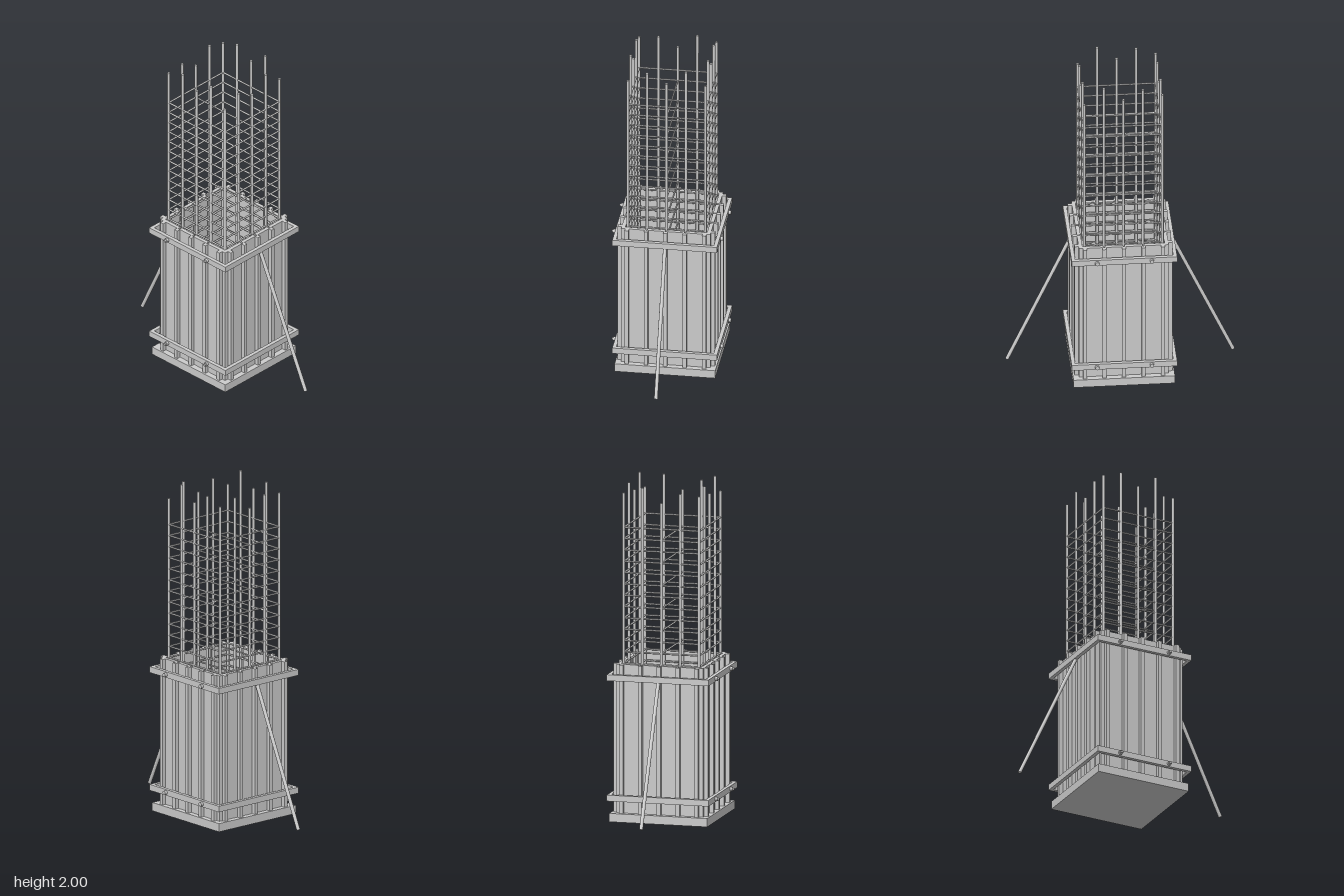
import * as THREE from 'three';

const mat = new THREE.MeshStandardMaterial({ color: 0xcccccc });

export function createModel() {
  const model = new THREE.Group();
  const body = new THREE.Group();
  body.name = 'columnFormwork';
  body.position.z = -0.003;
  model.add(body);

  function add(parent, name, geometry, x = 0, y = 0, z = 0) {
    const mesh = new THREE.Mesh(geometry, mat);
    mesh.name = name;
    mesh.position.set(x, y, z);
    parent.add(mesh);
    return mesh;
  }
  function box(parent, name, w, y0, y1, d, x = 0, z = 0) {
    return add(parent, name, new THREE.BoxGeometry(w, y1 - y0, d), x, (y0 + y1) / 2, z);
  }
  // round bar between two points
  function bar(parent, name, a, b, r, sides = 8) {
    const p = new THREE.Vector3(...a), q = new THREE.Vector3(...b);
    const dir = q.clone().sub(p);
    const mesh = add(parent, name, new THREE.CylinderGeometry(r, r, dir.length(), sides));
    mesh.position.copy(p).add(q).multiplyScalar(0.5);
    mesh.quaternion.setFromUnitVectors(new THREE.Vector3(0, 1, 0), dir.normalize());
    return mesh;
  }

  // footing slab and low starter block
  box(body, 'footing', 0.592, 0, 0.05, 0.592);
  box(body, 'starterBlock', 0.356, 0.05, 0.075, 0.356);

  // four shutter sides: boards with a batten over every joint
  const grid = [-0.2275, -0.114, 0, 0.114, 0.2275];
  for (let side = 0; side < 4; side++) {
    const shutter = new THREE.Group();
    shutter.name = 'shutterSide';
    shutter.rotation.y = side * Math.PI / 2;
    body.add(shutter);
    const reach = side % 2 ? 0.24 : 0.262;
    const edges = [-reach, -0.114, 0, 0.114, reach];
    for (let i = 0; i < 4; i++) {
      const a = edges[i] + (i > 0 ? 0.005 : 0);
      const b = edges[i + 1] - (i < 3 ? 0.005 : 0);
      box(shutter, 'board', b - a, 0.05, 0.93, 0.022, (a + b) / 2, 0.251);
    }
    for (const x of grid) box(shutter, 'batten', 0.023, 0.05, 0.93, 0.024, x, 0.274);
  }

  // clamping collars with bolts on the front and back
  const square = (shape, h) => shape.moveTo(-h, -h).lineTo(h, -h).lineTo(h, h).lineTo(-h, h).closePath();
  for (const y of [0.142, 0.855]) {
    const ring = square(new THREE.Shape(), 0.308);
    ring.holes.push(square(new THREE.Path(), 0.286));
    const geometry = new THREE.ExtrudeGeometry(ring, { depth: 0.036, bevelEnabled: false });
    geometry.translate(0, 0, -0.018).rotateX(-Math.PI / 2);
    add(body, 'collar', geometry, 0, y, 0);
    for (const x of [-0.16, 0.16]) {
      bar(body, 'boltHead', [x, y, 0.28], [x, y, 0.322], 0.0125, 10);
      bar(body, 'boltTip', [x, y, 0.32], [x, y, 0.331], 0.008, 8);
      bar(body, 'boltNut', [x, y, -0.28], [x, y, -0.324], 0.0125, 10);
    }
  }

  // slanted props on both sides
  for (const s of [-1, 1]) bar(body, 'prop', [s * 0.29, 0.845, 0], [s * 0.66, 0.035, 0], 0.011, 12);

  // reinforcement cage: vertical bars of uneven height
  const cage = new THREE.Group();
  cage.name = 'reinforcementCage';
  body.add(cage);
  const R = 0.2275;
  const rowTops = [1.94, 1.98, 1.918, 2.0, 1.893];
  const sideTops = [1.974, 1.89, 1.95];
  for (const s of [-1, 1]) {
    grid.forEach((x, i) => bar(cage, 'verticalBar', [x, 0.05, s * R], [x, rowTops[i], s * R], 0.009));
    sideTops.forEach((top, i) => bar(cage, 'verticalBar', [s * R, 0.05, grid[i + 1]], [s * R, top, grid[i + 1]], 0.009));
  }

  // square ties up the cage, with cross ties on alternate levels
  for (let i = 0; i < 26; i++) {
    const y = 1.735 - i * 0.067;
    for (const s of [-1, 1]) {
      bar(cage, 'tie', [-R - 0.005, y, s * R], [R + 0.005, y, s * R], 0.0055);
      bar(cage, 'tie', [s * R, y, -R - 0.005], [s * R, y, R + 0.005], 0.0055);
    }
    if (i % 2) bar(cage, 'crossTie', [-R, y, 0], [R, y, 0], 0.005);
  }

  return model;
}
